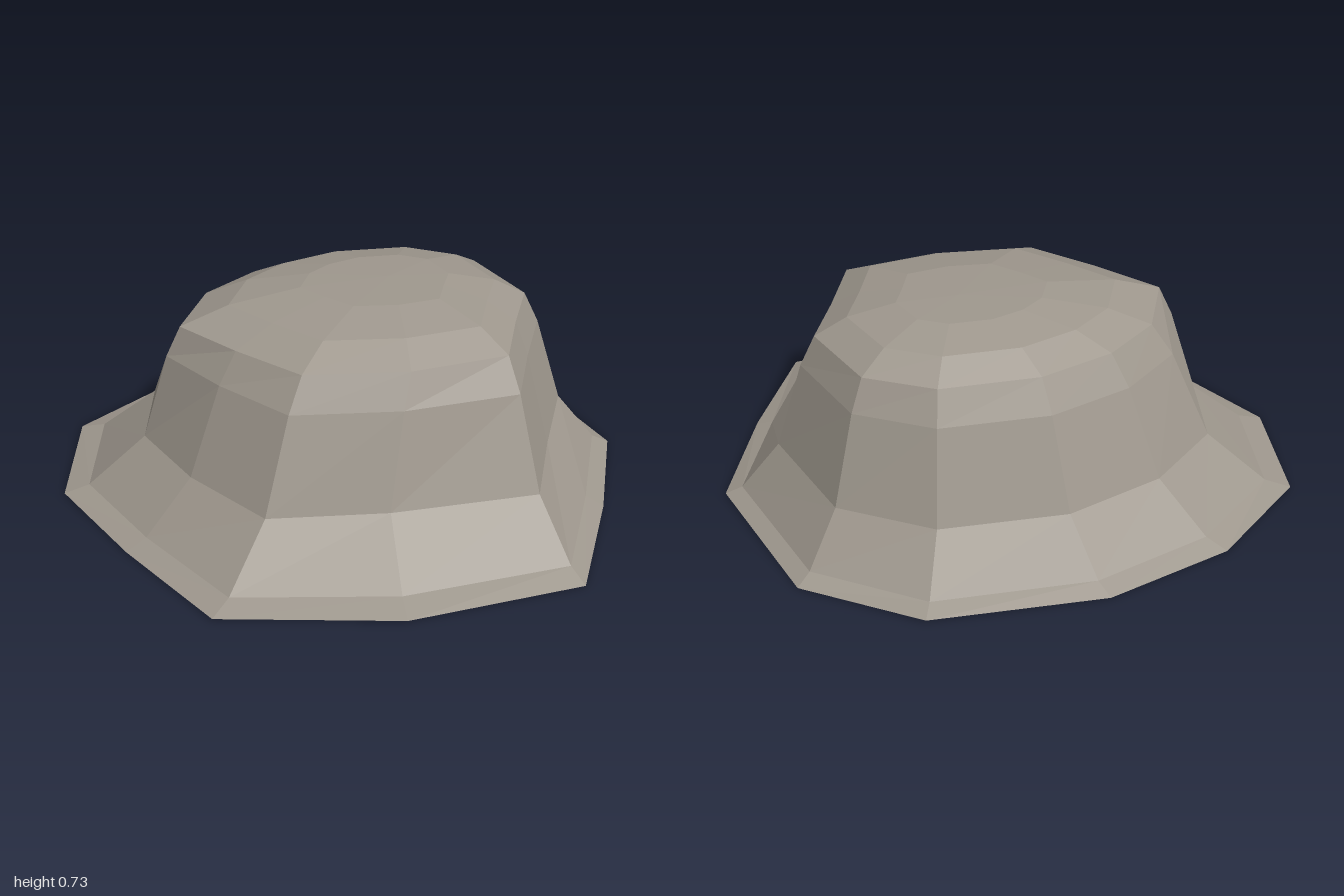
import * as THREE from 'three';

// Outlines as [x, z], all starting at the back and running round by the left side
const rim = [[-0.38, -1], [0.05, -0.95], [0.46, -0.73], [0.86, -0.29], [0.945, 0.15], [0.69, 0.67],
  [0.30, 0.85], [-0.12, 1], [-0.60, 0.63], [-0.95, 0.13], [-0.85, -0.33], [-0.73, -0.74]];
const foot = [[-0.26, -0.72], [0.06, -0.69], [0.38, -0.53], [0.67, -0.21], [0.75, 0.13], [0.57, 0.51],
  [0.27, 0.63], [-0.02, 0.76], [-0.39, 0.42], [-0.65, 0.11], [-0.61, -0.24], [-0.51, -0.54]];
const shoulder = [[-0.17, -0.52], [0.06, -0.49], [0.30, -0.37], [0.53, -0.13], [0.60, 0.11], [0.48, 0.39],
  [0.28, 0.47], [0.06, 0.57], [-0.21, 0.37], [-0.43, 0.10], [-0.43, -0.17], [-0.41, -0.43]];
const centre = shoulder.map(() => [0.15, 0.04]);

// Blend two outlines and lift the result to height y
function ring(a, b, t, y) {
  return a.map((p, i) => new THREE.Vector3(
    THREE.MathUtils.lerp(p[0], b[i][0], t), y, THREE.MathUtils.lerp(p[1], b[i][1], t)));
}

// Skin a stack of rings, lowest first
function loft(rings) {
  const points = [];
  for (let r = 0; r < rings.length - 1; r++) {
    const low = rings[r], high = rings[r + 1];
    for (let i = 0; i < low.length; i++) {
      const j = (i + 1) % low.length;
      points.push(low[j], low[i], high[i]);
      if (r < rings.length - 2) points.push(low[j], high[i], high[j]);
    }
  }
  const geometry = new THREE.BufferGeometry().setFromPoints(points);
  geometry.computeVertexNormals();
  return geometry;
}

export function createModel() {
  const group = new THREE.Group();
  group.name = 'hollowMound';
  const stone = new THREE.MeshStandardMaterial({ color: 0x9e978d, side: THREE.DoubleSide, flatShading: true });
  stone.name = 'warmGreyStone';

  const add = (name, rings) => {
    const mesh = new THREE.Mesh(loft(rings), stone);
    mesh.name = name;
    group.add(mesh);
  };

  const footRing = ring(foot, foot, 0, 0.205);
  const shoulderRing = ring(shoulder, shoulder, 0, 0.63);
  // Rim heights waver slightly
  const rimRing = ring(rim, rim, 0, 0);
  rimRing.forEach((p, i) => { p.y = 0.004 + 0.004 * Math.sin(i * 2.1 + 2); });

  // Flared skirt, open underneath
  add('skirt', [rimRing, ring(rim, foot, 0.3, 0.03), footRing, footRing].slice(0, 3).concat([footRing]));
  // Steep wall
  add('wall', [footRing, ring(foot, shoulder, 0.65, 0.52), shoulderRing, shoulderRing]);
  // Rounded cap closing on a single point
  add('cap', [shoulderRing, ring(shoulder, centre, 0.23, 0.69),
    ring(shoulder, centre, 0.57, 0.725), ring(centre, centre, 0, 0.73)]);
  return group;
}
